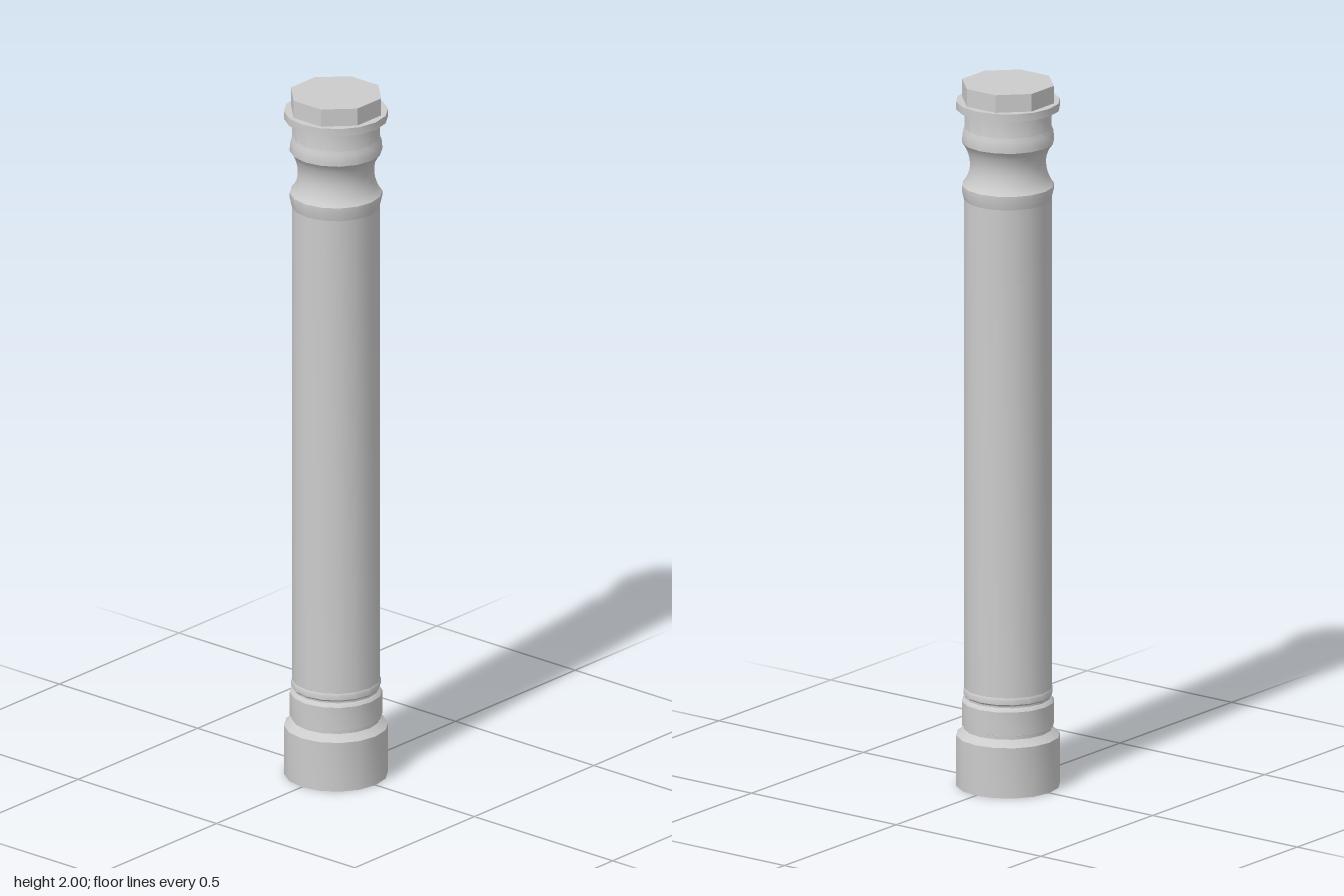
import * as THREE from 'three';
import { toCreasedNormals } from 'three/addons/utils/BufferGeometryUtils.js';

const SIDES = 16;

export function createModel() {
  const model = new THREE.Group();
  const material = new THREE.MeshStandardMaterial({ color: 0xcccccc });
  const openMaterial = new THREE.MeshStandardMaterial({ color: 0xcccccc, side: THREE.DoubleSide });

  // Turned section from [radius, height] pairs, listed bottom to top
  function turned(name, profile, surface = material) {
    const points = profile.map(([r, y]) => new THREE.Vector2(r, y));
    const geometry = toCreasedNormals(new THREE.LatheGeometry(points, SIDES), 0.5);
    const mesh = new THREE.Mesh(geometry, surface);
    mesh.name = name;
    model.add(mesh);
  }

  // Hollow foot, open underneath, with a sloped shoulder
  turned('foot', [[0.143, 0], [0.143, 0.143], [0.121, 0.161], [0.121, 0.17]], openMaterial);

  // Wide band above the foot
  turned('lowerBand', [[0.121, 0.17], [0.127, 0.172], [0.127, 0.24], [0.122, 0.246]], openMaterial);

  // Bead with a groove on either side at the bottom of the shaft
  turned('bead', [
    [0.122, 0.246], [0.118, 0.25], [0.118, 0.255], [0.123, 0.26],
    [0.123, 0.275], [0.121, 0.279],
  ], openMaterial);

  // Long plain shaft
  turned('shaft', [[0.121, 0.279], [0.121, 1.67]], openMaterial);

  // Flared collar, scooped neck and upper collar
  const cove = [];
  for (let i = 0; i <= 12; i++) {
    const t = i / 12;
    const depth = Math.pow(Math.max(0, Math.sin(Math.PI * t)), 0.75);
    cove.push([0.127 - 0.022 * depth, 1.71 + 0.123 * t]);
  }
  turned('collar', [[0.121, 1.67], [0.127, 1.695], [0.127, 1.71]], openMaterial);
  turned('neck', cove, openMaterial);
  turned('upperCollar', [
    [0.127, 1.833], [0.127, 1.842], [0.125, 1.862], [0.12, 1.874], [0.12, 1.928],
  ], openMaterial);

  // Thin projecting rim
  turned('rim', [[0.118, 1.928], [0.143, 1.928], [0.143, 1.95], [0.115, 1.95]], openMaterial);

  // Eight-sided cap with flats facing the four sides
  const capRadius = 0.12 / Math.cos(Math.PI / 8);
  const capGeometry = new THREE.CylinderGeometry(capRadius, capRadius, 0.05, 8, 1, false, Math.PI / 8);
  const cap = new THREE.Mesh(toCreasedNormals(capGeometry, 0.3), material);
  cap.name = 'cap';
  cap.position.y = 1.975;
  model.add(cap);

  return model;
}
